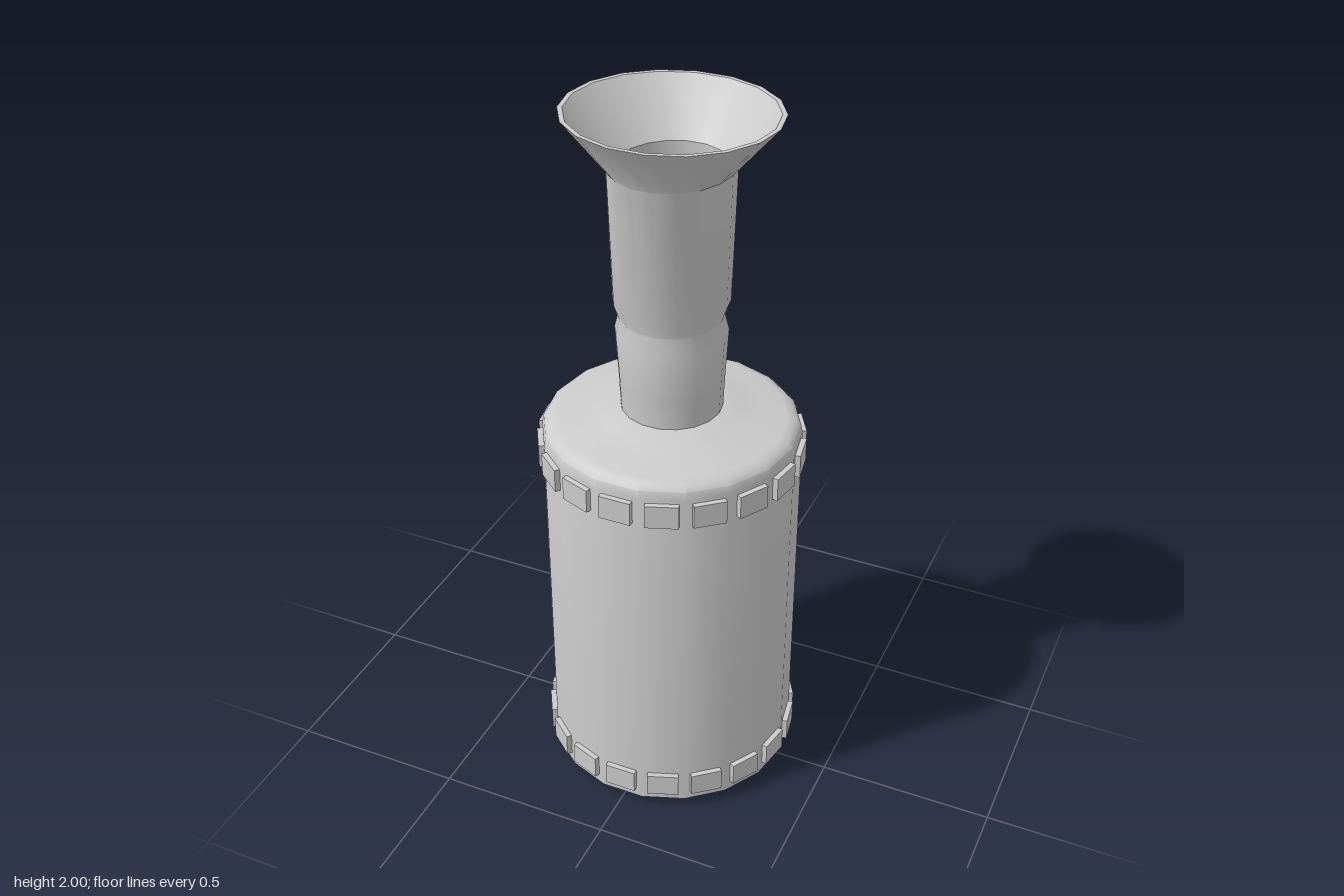
import * as THREE from 'three';
import { toCreasedNormals } from 'three/addons/utils/BufferGeometryUtils.js';

const SIDES = 18;
const STEP = (Math.PI * 2) / SIDES;
const material = new THREE.MeshStandardMaterial({ color: 0xcccccc });

// Turned part from rows of [radius, height, optional depth stretch]
function turned(name, rows, crease) {
  const points = rows.map(([r, y]) => new THREE.Vector2(r, y));
  const geometry = new THREE.LatheGeometry(points, SIDES, STEP / 2);
  const pos = geometry.attributes.position;
  for (let i = 0; i < pos.count; i++) {
    pos.setZ(i, pos.getZ(i) * (rows[i % rows.length][2] ?? 1));
  }
  const mesh = new THREE.Mesh(toCreasedNormals(geometry, crease), material);
  mesh.name = name;
  return mesh;
}

// Ring of flat blocks, one on each side of the body
function studRing(name, y) {
  const ring = new THREE.Group();
  ring.name = name;
  const geometry = new THREE.BoxGeometry(0.09, 0.068, 0.03);
  for (let i = 0; i < SIDES; i++) {
    const a = i * STEP;
    const stud = new THREE.Mesh(geometry, material);
    stud.name = 'stud';
    stud.position.set(Math.sin(a) * 0.352, y, Math.cos(a) * 0.352);
    stud.rotation.y = a;
    ring.add(stud);
  }
  return ring;
}

export function createModel() {
  const model = new THREE.Group();
  model.name = 'canister';

  // Cylindrical body with a stepped foot and a rounded shoulder
  model.add(turned('body', [
    [0, 0], [0.335, 0], [0.335, 0.018], [0.357, 0.022], [0.357, 1.085],
    [0.352, 1.108], [0.338, 1.122], [0.315, 1.128],
    [0.25, 1.136], [0.19, 1.15], [0.138, 1.163], [0, 1.163],
  ], 0.62));

  // Neck with a groove, flared mouth and shallow closed bore
  model.add(turned('neckAndMouth', [
    [0.139, 1.155], [0.143, 1.25], [0.151, 1.395, 1.03], [0.14, 1.44, 1.03],
    [0.155, 1.485, 1.035], [0.165, 1.86, 1.075],
    [0.285, 2, 0.95], [0.272, 2, 0.95],
    [0.205, 1.915, 1], [0.147, 1.855, 1.085],
    [0.147, 1.81, 1.085], [0, 1.81],
  ], 0.6));

  model.add(studRing('lowerStuds', 0.085));
  model.add(studRing('upperStuds', 1.04));
  return model;
}
